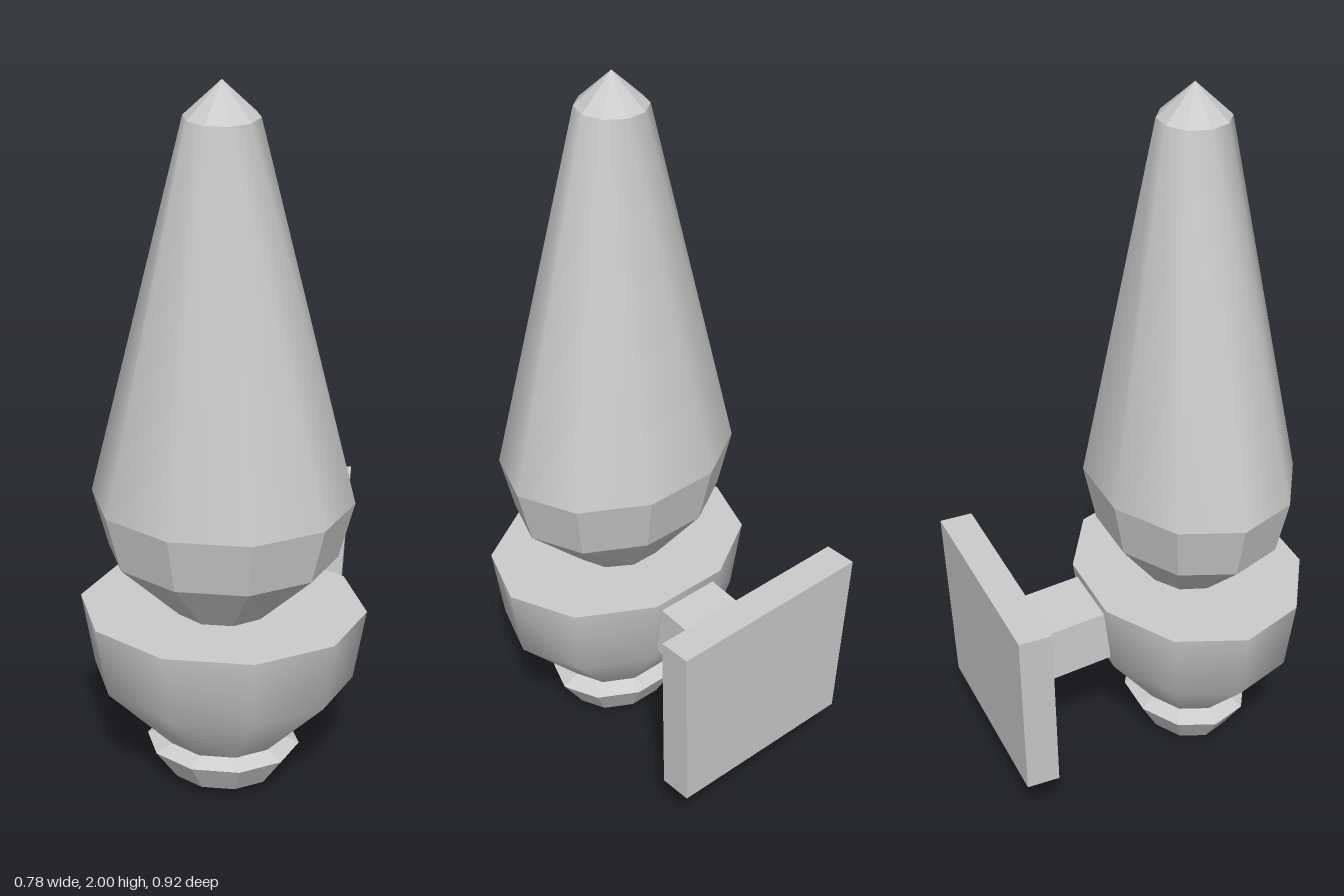
import * as THREE from 'three';

const SIDES = 10;
const CENTRE_Z = 0.161;

// Joins oval ten-sided rings [rx, rz, y], listed bottom to top
function loft(name, rings, flat) {
  const pos = [], idx = [];
  for (const [rx, rz, y] of rings) {
    for (let i = 0; i < SIDES; i++) {
      const a = (i / SIDES) * Math.PI * 2;
      pos.push(rx * Math.cos(a), y, CENTRE_Z + rz * Math.sin(a));
    }
  }
  for (let r = 0; r < rings.length - 1; r++) {
    for (let i = 0; i < SIDES; i++) {
      const j = (i + 1) % SIDES;
      const a = r * SIDES + i, b = r * SIDES + j, c = a + SIDES, d = b + SIDES;
      if (rings[r + 1][0] > 0) idx.push(a, c, d);
      if (rings[r][0] > 0) idx.push(a, d, b);
    }
  }
  const geo = new THREE.BufferGeometry();
  geo.setAttribute('position', new THREE.Float32BufferAttribute(pos, 3));
  geo.setIndex(idx);
  geo.computeVertexNormals();
  return makeMesh(name, geo, flat);
}

function makeMesh(name, geo, flat) {
  const mesh = new THREE.Mesh(geo, new THREE.MeshStandardMaterial({ color: 0xcccccc, flatShading: flat }));
  mesh.name = name;
  return mesh;
}

// Unit box whose corners are moved by a rule taking signs (sx, sy, sz)
function warpedBox(name, rule) {
  const geo = new THREE.BoxGeometry(2, 2, 2);
  const p = geo.attributes.position;
  for (let i = 0; i < p.count; i++) p.setXYZ(i, ...rule(p.getX(i), p.getY(i), p.getZ(i)));
  geo.computeVertexNormals();
  return makeMesh(name, geo, true);
}

export function createModel() {
  const group = new THREE.Group();
  group.name = 'wallLamp';

  // Pointed knob under the bowl
  group.add(loft('bottomKnob', [
    [0, 0, 0.005], [0.148, 0.118, 0.043], [0.212, 0.171, 0.135], [0.163, 0.132, 0.157],
  ], true));

  // Bowl with a flat top
  group.add(loft('bowl', [[0.163, 0.132, 0.157], [0.355, 0.286, 0.36], [0.388, 0.313, 0.567]], false));
  group.add(loft('bowlTop', [[0.388, 0.313, 0.567], [0.135, 0.122, 0.567]], true));

  // Tapered shade: faceted base, smooth cone and faceted tip
  group.add(loft('shadeBase', [
    [0.135, 0.122, 0.567], [0.307, 0.247, 0.73], [0.348, 0.28, 0.89],
  ], true));
  group.add(loft('shadeCone', [[0.348, 0.28, 0.89], [0.096, 0.096, 1.91]], false));
  group.add(loft('shadeTip', [[0.096, 0.096, 1.91], [0, 0, 2]], true));

  // Sloping arm from the bowl to the wall plate
  group.add(warpedBox('arm', (sx, sy, sz) => [
    sx * 0.095,
    sz > 0 ? 0.468 + sy * 0.078 : 0.431 + sy * 0.08,
    sz > 0 ? -0.08 : -0.39,
  ]));

  // Wall plate, leaning slightly and wider at the top
  group.add(warpedBox('wallPlate', (sx, sy, sz) => [
    sx * (0.293 + sy * 0.012),
    0.434 + sy * 0.256,
    -0.404 - sy * 0.009 + sz * 0.046,
  ]));

  return group;
}
